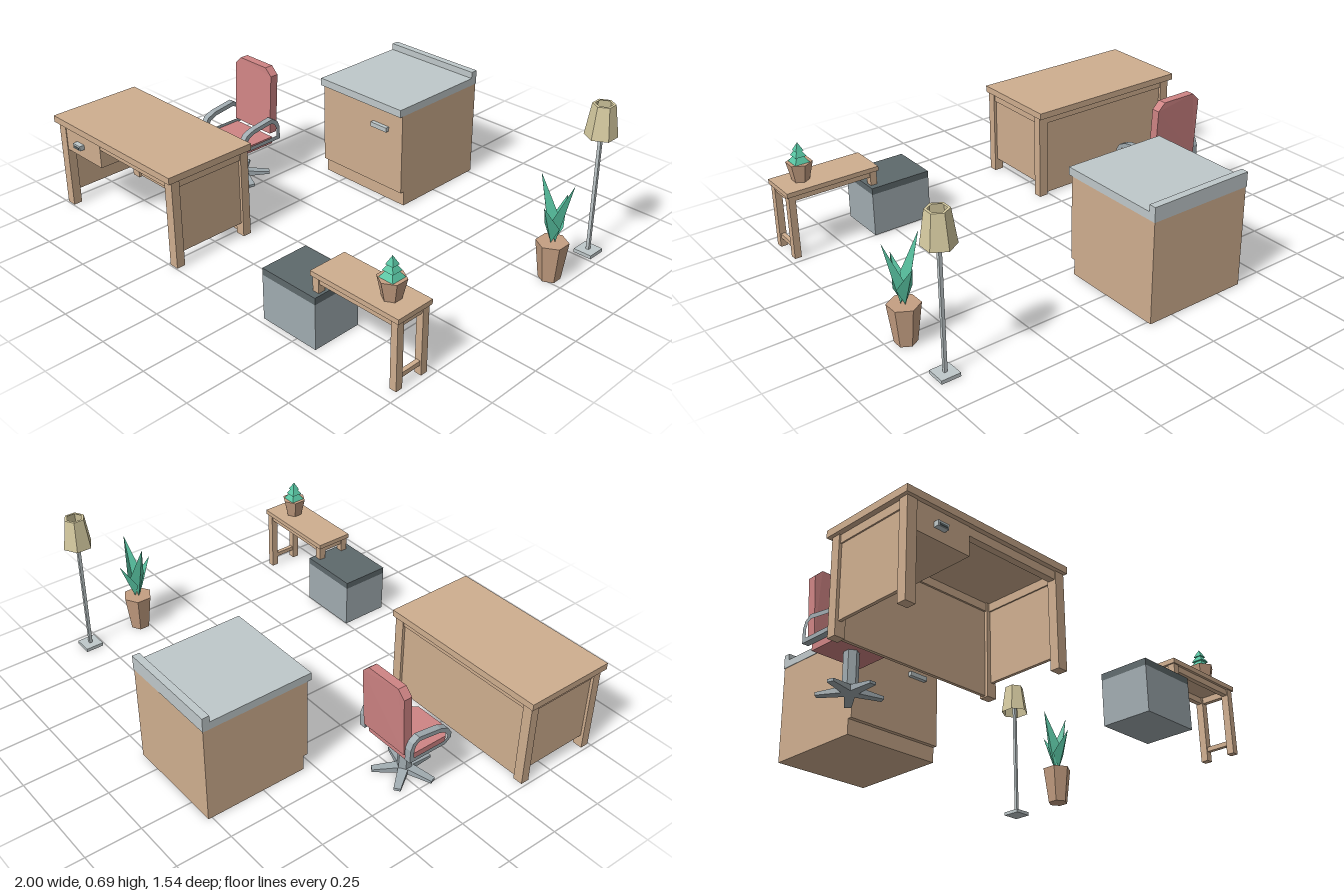
import * as THREE from 'three';

const mat = (name, color, side = THREE.FrontSide) =>
  new THREE.MeshStandardMaterial({ name, color, side, flatShading: true });

export function createModel() {
  const wood = mat('wood', 0xcfae8f);
  const pot = mat('terracotta', 0xc59f82);
  const metal = mat('metal', 0xa0abb0);
  const lightMetal = mat('lightMetal', 0xbfc8ca);
  const darkMetal = mat('darkMetal', 0x5e696c);
  const fabric = mat('fabric', 0xcf8484);
  const leaf = mat('leaf', 0x58c4a2, THREE.DoubleSide);
  const shade = mat('lampShade', 0xd5caa0, THREE.DoubleSide);

  const root = new THREE.Group();
  const group = (name) => {
    const g = new THREE.Group();
    g.name = name;
    root.add(g);
    return g;
  };
  const add = (g, name, geo, m) => {
    const mesh = new THREE.Mesh(geo, m);
    mesh.name = name;
    g.add(mesh);
    return mesh;
  };
  // box given by its limits on each axis
  const box = (g, name, m, x0, x1, y0, y1, z0, z1) =>
    add(g, name, new THREE.BoxGeometry(x1 - x0, y1 - y0, z1 - z0)
      .translate((x0 + x1) / 2, (y0 + y1) / 2, (z0 + z1) / 2), m);
  // six-sided tapered prism with a corner towards +z
  const hex = (g, name, m, rTop, rBottom, x, y0, y1, z, open = false) =>
    add(g, name, new THREE.CylinderGeometry(rTop, rBottom, y1 - y0, 6, 1, open)
      .translate(x, (y0 + y1) / 2, z), m);
  const polygon = (pts) => new THREE.Shape(pts.map(([x, y]) => new THREE.Vector2(x, y)));

  // ---- desk
  const desk = group('desk');
  box(desk, 'deskTop', wood, -1, -0.19, 0.4, 0.43, 0.33, 0.76);
  for (const x of [-0.985, -0.24])
    for (const z of [0.345, 0.705]) box(desk, 'deskLeg', wood, x, x + 0.045, 0, 0.4, z, z + 0.04);
  for (const x of [-0.972, -0.222]) {
    box(desk, 'deskSideApron', wood, x - 0.006, x + 0.02, 0.365, 0.4, 0.385, 0.705);
    box(desk, 'deskSidePanel', wood, x, x + 0.014, 0.06, 0.365, 0.385, 0.705);
  }
  box(desk, 'deskBackApron', wood, -0.94, -0.24, 0.365, 0.4, 0.35, 0.38);
  box(desk, 'deskBackPanel', wood, -0.94, -0.24, 0.005, 0.365, 0.358, 0.372);
  box(desk, 'deskFrontApron', wood, -0.69, -0.24, 0.365, 0.4, 0.71, 0.74);
  box(desk, 'deskDrawer', wood, -0.94, -0.69, 0.28, 0.4, 0.372, 0.742);
  box(desk, 'drawerPull', lightMetal, -0.86, -0.81, 0.325, 0.347, 0.742, 0.765);
  box(desk, 'drawerPullSlot', darkMetal, -0.853, -0.817, 0.329, 0.338, 0.762, 0.767);

  // ---- kitchen cabinet
  const cabinet = group('cabinet');
  box(cabinet, 'cabinetBody', wood, -0.37, 0.113, 0.07, 0.45, -0.768, -0.275);
  box(cabinet, 'cabinetPlinth', wood, -0.37, 0.113, 0, 0.07, -0.768, -0.295);
  box(cabinet, 'counter', lightMetal, -0.373, 0.115, 0.45, 0.485, -0.77, -0.258);
  box(cabinet, 'backsplash', lightMetal, -0.373, 0.115, 0.485, 0.515, -0.77, -0.737);
  box(cabinet, 'cabinetHandle', lightMetal, -0.06, 0.033, 0.352, 0.373, -0.275, -0.256);

  // ---- office chair
  const chair = group('chair');
  const cx = -0.625, cz = 0.03;
  const seat = new THREE.ExtrudeGeometry(polygon([
    [-0.12, -0.065], [0.12, -0.065], [0.12, 0.13], [0.08, 0.17], [-0.08, 0.17], [-0.12, 0.13],
  ]), { depth: 0.033, bevelEnabled: false }).rotateX(Math.PI / 2).translate(cx, 0.208, 0);
  add(chair, 'seat', seat, fabric);

  // backrest with clipped top corners, leaning backwards
  const back = new THREE.ExtrudeGeometry(polygon([
    [-0.12, 0.228], [0.12, 0.228], [0.12, 0.508], [0.085, 0.542], [-0.085, 0.542], [-0.12, 0.508],
  ]), { depth: 0.04, bevelEnabled: false }).translate(cx, 0, -0.11);
  const bp = back.attributes.position;
  for (let i = 0; i < bp.count; i++)
    bp.setZ(i, bp.getZ(i) + Math.max(0, 0.508 - bp.getY(i)) * 0.06);
  add(chair, 'backrest', back, fabric);

  // looped armrests
  const outer = [[0.1, 0.203], [-0.088, 0.203], [-0.088, 0.265], [-0.075, 0.295], [-0.045, 0.315],
    [0.07, 0.298], [0.11, 0.28], [0.13, 0.25], [0.13, 0.225]];
  const inner = [[0.09, 0.222], [-0.068, 0.222], [-0.068, 0.26], [-0.058, 0.283], [-0.04, 0.294],
    [0.065, 0.279], [0.095, 0.265], [0.11, 0.245], [0.108, 0.23]];
  const armShape = polygon(outer);
  armShape.holes.push(polygon(inner));
  for (const x of [cx - 0.12, cx + 0.15])
    add(chair, 'armrest', new THREE.ExtrudeGeometry(armShape, { depth: 0.03, bevelEnabled: false })
      .rotateY(-Math.PI / 2).translate(x, 0, 0), metal);

  hex(chair, 'chairColumn', metal, 0.032, 0.032, cx, 0.015, 0.176, cz);
  for (let i = 0; i < 5; i++) {
    // foot tapering in height and width towards its tip
    const foot = new THREE.BoxGeometry(0.045, 0.03, 0.135).translate(0, 0.015, 0.0675);
    const p = foot.attributes.position;
    for (let k = 0; k < p.count; k++)
      if (p.getZ(k) > 0.1) p.setXY(k, p.getX(k) * 0.65, Math.min(p.getY(k), 0.012));
    add(chair, 'chairFoot', foot.rotateY(i * Math.PI * 2 / 5).translate(cx, 0, cz), metal);
  }

  // ---- storage box
  const chest = group('storageBox');
  box(chest, 'boxBody', metal, 0.315, 0.6, 0, 0.2, 0.5, 0.725);
  box(chest, 'boxLid', darkMetal, 0.315, 0.6, 0.2, 0.23, 0.5, 0.725);

  // ---- side table, one end resting on the storage box
  const table = group('sideTable');
  box(table, 'tableTop', wood, 0.55, 0.983, 0.295, 0.316, 0.523, 0.7);
  for (const z of [0.53, 0.662]) {
    box(table, 'tableShortLeg', wood, 0.557, 0.588, 0.23, 0.295, z, z + 0.032);
    box(table, 'tableLongLeg', wood, 0.944, 0.975, 0, 0.295, z, z + 0.032);
    box(table, 'tableSideApron', wood, 0.588, 0.944, 0.268, 0.295, z + 0.005, z + 0.027);
  }
  for (const x of [0.562, 0.949])
    box(table, 'tableEndApron', wood, x, x + 0.021, 0.268, 0.295, 0.562, 0.662);
  box(table, 'tableStretcher', wood, 0.95, 0.969, 0.042, 0.062, 0.562, 0.662);

  // ---- small potted plant
  const small = group('smallPlant');
  hex(small, 'smallPot', pot, 0.057, 0.038, 0.873, 0.316, 0.4, 0.615);
  for (const [r, y0, y1] of [[0.048, 0.4, 0.45], [0.036, 0.428, 0.47], [0.025, 0.452, 0.488]])
    add(small, 'foliageTier', new THREE.ConeGeometry(r, y1 - y0, 4)
      .rotateY(Math.PI / 4).translate(0.873, (y0 + y1) / 2, 0.615), leaf);

  // ---- tall potted plant
  const tall = group('tallPlant');
  const px = 0.922, pz = -0.283;
  hex(tall, 'tallPot', pot, 0.068, 0.046, px, 0, 0.17, pz);
  // leaf folded along its middle, leaning outwards along +z
  const leafBlade = (height) => {
    const base = [0, 0, 0.012], tip = [0, height, 0.08], mid = [0, height * 0.4, 0.04];
    const l = [-0.036, height * 0.4, 0.012], r = [0.036, height * 0.4, 0.012];
    const g = new THREE.BufferGeometry();
    g.setAttribute('position', new THREE.Float32BufferAttribute(
      [base, mid, l, base, r, mid, l, mid, tip, mid, r, tip].flat(), 3));
    g.computeVertexNormals();
    return g;
  };
  for (let i = 0; i < 4; i++)
    add(tall, 'leafBlade', leafBlade(i % 2 ? 0.285 : 0.185)
      .rotateY(i * Math.PI / 2).translate(px, 0.17, pz), leaf);

  // ---- floor lamp
  const lamp = group('floorLamp');
  const lx = 0.923, lz = -0.555;
  box(lamp, 'lampBase', lightMetal, lx - 0.042, lx + 0.042, 0, 0.016, lz - 0.042, lz + 0.042);
  box(lamp, 'lampPole', lightMetal, lx - 0.007, lx + 0.007, 0.016, 0.62, lz - 0.007, lz + 0.007);
  hex(lamp, 'lampShade', shade, 0.047, 0.068, lx, 0.548, 0.688, lz, true);
  add(lamp, 'shadeRim', new THREE.RingGeometry(0.035, 0.047, 6, 1, Math.PI / 2)
    .rotateX(-Math.PI / 2).translate(lx, 0.688, lz), shade);
  add(lamp, 'shadeFloor', new THREE.CircleGeometry(0.03, 6, Math.PI / 2)
    .rotateX(-Math.PI / 2).translate(lx, 0.6, lz), lightMetal);

  return root;
}
